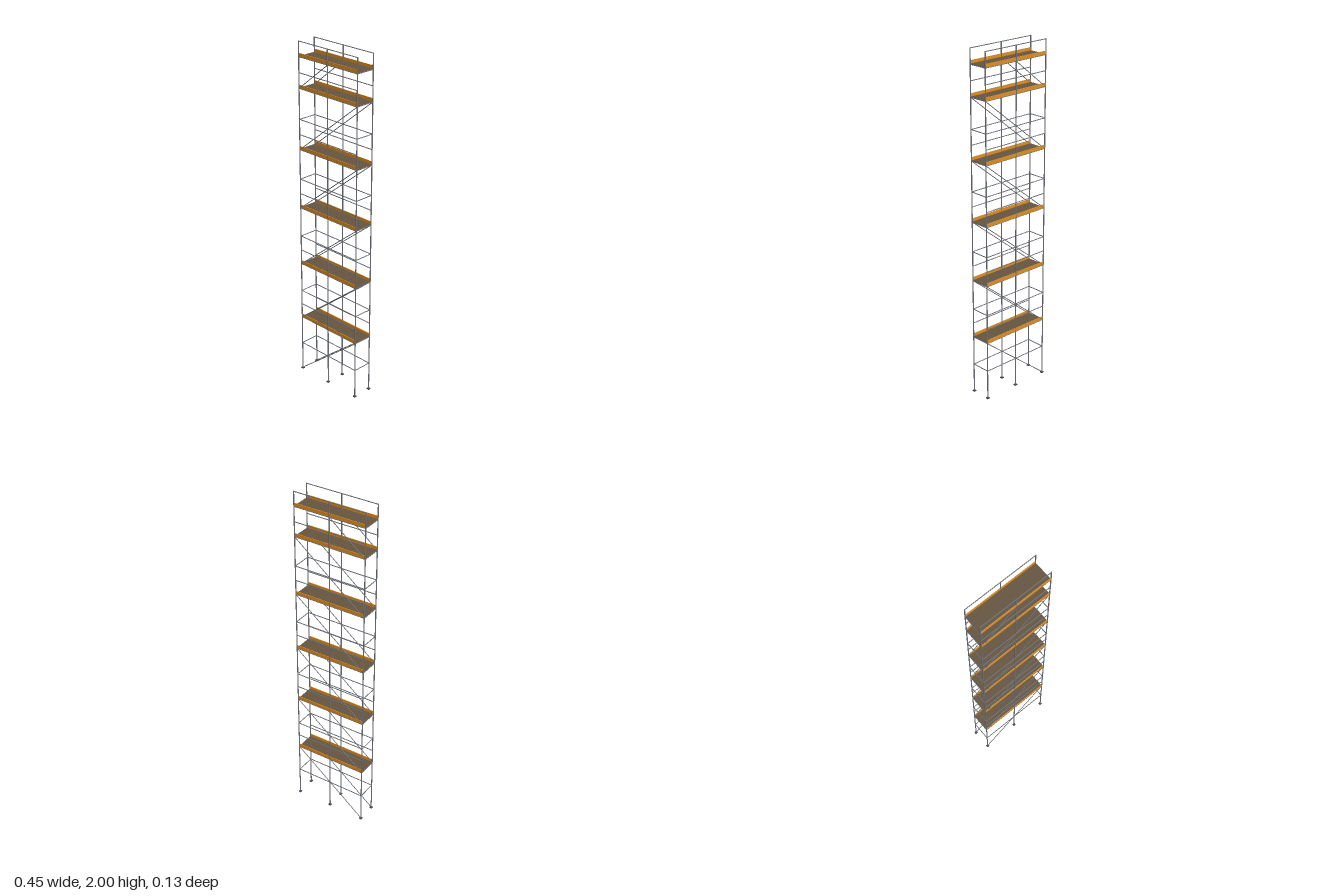
import * as THREE from 'three';

const steel = new THREE.MeshStandardMaterial({ color: 0x70747b });
steel.name = 'steel tube';
const plateSteel = new THREE.MeshStandardMaterial({ color: 0x44474c });
plateSteel.name = 'base plate steel';
const wood = new THREE.MeshStandardMaterial({ color: 0x665541 });
wood.name = 'deck wood';
const orange = new THREE.MeshStandardMaterial({ color: 0xe08f24 });
orange.name = 'toe board orange';

const X = 0.217, Z = 0.057;            // post positions
const LIFT = 0.3475, BASE = 0.349;     // deck spacing and first deck height
const POST_R = 0.0032, RAIL_R = 0.0025, BRACE_R = 0.0022;
const PLANKS = 4, GAP = 0.0005;

// Round tube between two points
function tube(name, a, b, radius) {
  const from = new THREE.Vector3(...a), to = new THREE.Vector3(...b);
  const dir = to.clone().sub(from);
  const mesh = new THREE.Mesh(new THREE.CylinderGeometry(radius, radius, dir.length(), 8), steel);
  mesh.position.copy(from).add(to).multiplyScalar(0.5);
  mesh.quaternion.setFromUnitVectors(new THREE.Vector3(0, 1, 0), dir.normalize());
  mesh.name = name;
  return mesh;
}

function box(name, size, pos, material) {
  const mesh = new THREE.Mesh(new THREE.BoxGeometry(...size), material);
  mesh.position.set(...pos);
  mesh.name = name;
  return mesh;
}

export function createModel() {
  const model = new THREE.Group();
  model.name = 'scaffoldTower';

  // Standards with base plates
  for (const z of [-Z, Z]) {
    for (const x of [-X, 0, X]) {
      model.add(tube('post', [x, 0, z], [x, 2, z], POST_R));
      model.add(box('basePlate', [0.016, 0.006, 0.015], [x, 0.003, z], plateSteel));
    }
  }

  const sideRails = (name, y) => {
    for (const z of [-Z, Z]) model.add(tube(name, [-X, y, z], [X, y, z], RAIL_R));
  };
  const endRails = (name, y) => {
    for (const x of [-X, X]) model.add(tube(name, [x, y, -Z], [x, y, Z], RAIL_R));
  };

  // Frames of ledgers and transoms at every half lift
  const decks = [0, 1, 2, 3, 4].map((i) => BASE + i * LIFT);
  decks.push(decks[4] + LIFT / 2);
  const frames = [...decks, ...decks.slice(0, 5).map((y) => y - LIFT / 2)];
  for (const y of frames) {
    sideRails('ledger', y);
    endRails('transom', y);
  }

  // Planked decks with toe boards, and a guard rail above each
  const pitch = (2 * Z) / PLANKS;
  for (const y of decks) {
    for (let i = 0; i < PLANKS; i++) {
      model.add(box('deckPlank', [2 * X, 0.006, pitch - GAP], [0, y + 0.001, -Z + (i + 0.5) * pitch], wood));
    }
    for (const z of [-Z, Z]) {
      model.add(box('toeBoard', [2 * X, 0.021, 0.0035], [0, y + 0.0105, z], orange));
    }
    sideRails('guardRail', Math.min(y + LIFT / 4, 2 - RAIL_R));
  }

  // Diagonal braces on both long sides, the top one half length
  for (const z of [-Z, Z]) {
    decks.forEach((y, i) => {
      const low = i === 0 ? 0.005 : decks[i - 1];
      model.add(tube('diagonalBrace', [-X, low, z], [i === 5 ? 0 : X, y, z], BRACE_R));
    });
  }
  return model;
}
